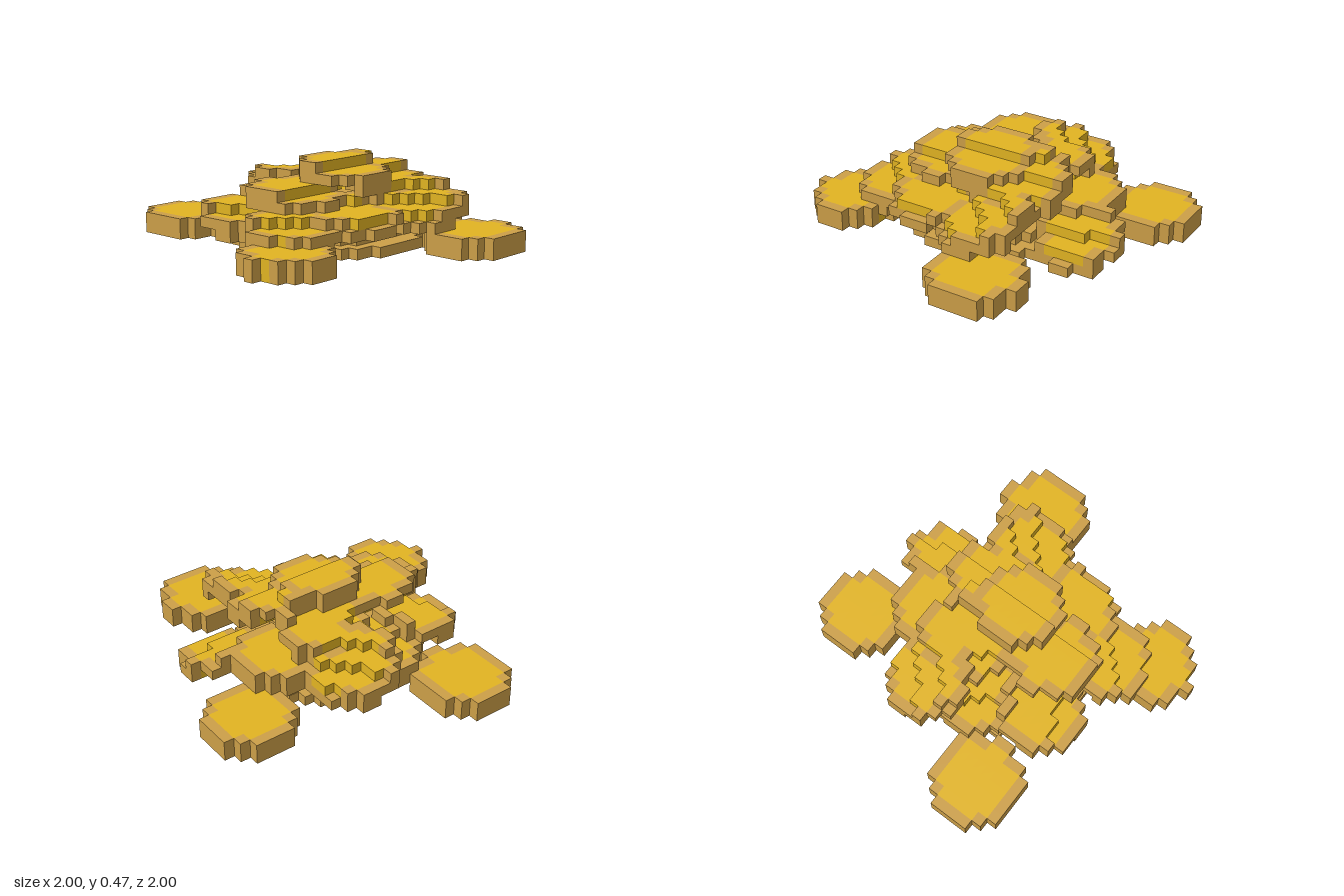
import * as THREE from 'three';

const CELLS = 17;            // voxels per unit
const gold = new THREE.MeshStandardMaterial({ color: 0xe2b422 });
gold.name = 'gold';
const bronze = new THREE.MeshStandardMaterial({ color: 0xcc9f48 });
bronze.name = 'bronze';

// Coins in voxel units: name, centre x, y, z, slope along x, slope along z, radius
const COINS = [
  ['looseCoinBack', -6, 1, -13, 0, 0, 4.1],
  ['looseCoinLeft', 12.95, 1, -5.25, 0, 0, 4.36],
  ['looseCoinRight', -12.7, 1, 6, 0, 0, 4.35],
  ['looseCoinFront', 6.8, 1, 12.5, 0, 0, 4.03],
  ['lowCoinBack', 3.1, 1.85, -10, -0.4, 0.04, 3.75],
  ['lowCoinBackRight', -2.2, 3, -7, 0, 0.08, 4.1],
  ['lowCoinRight', -5.9, 3, 1, 0.25, -0.2, 4.1],
  ['lowCoinFrontRight', -4, 3, 7.2, -0.1, -0.22, 4.1],
  ['lowCoinFront', 4, 2.9, 8.7, -0.2, -0.25, 4.3],
  ['lowCoinLeft', 6, 3.3, 3.5, -0.2, -0.05, 4.1],
  ['leaningCoinRight', -8, 4.05, -3.3, 0.25, 0.35, 4.2],
  ['leaningCoinLeft', 8.1, 3.85, -3, -0.27, -0.3, 4.3],
  ['upperCoinRight', -3.3, 5, -2.5, 0.2, -0.12, 4.2],
  ['upperCoinFront', 0.5, 4.9, 5, -0.18, 0, 4.2],
  ['upperCoinBack', 3, 5.75, -4, -0.4, 0.08, 4.15],
  ['topCoin', 2, 6.65, 0, -0.13, 0, 4.1],
];

// Quads of a unit voxel: outward direction and two edge directions (u x v = n)
const SIDES = [
  [[1, 0, 0], [0, 1, 0], [0, 0, 1]], [[-1, 0, 0], [0, 0, 1], [0, 1, 0]],
  [[0, 1, 0], [0, 0, 1], [1, 0, 0]], [[0, -1, 0], [1, 0, 0], [0, 0, 1]],
  [[0, 0, 1], [1, 0, 0], [0, 1, 0]], [[0, 0, -1], [0, 1, 0], [1, 0, 0]],
];

const key = (x, y, z) => `${x},${y},${z}`;

// Fill the shared grid with every cell that the test assigns a material
function fill(grid, part, test) {
  for (let x = -17; x < 17; x++)
    for (let y = 0; y < 8; y++)
      for (let z = -17; z < 17; z++) {
        const material = test(x + 0.5, y + 0.5, z + 0.5);
        if (material) grid.set(key(x, y, z), { x, y, z, part, material });
      }
}

// Mesh of the exposed faces of the given cells
function voxelMesh(grid, cells, material, name) {
  const pos = [], nor = [];
  for (const { x, y, z } of cells)
    for (const [n, u, v] of SIDES) {
      if (grid.has(key(x + n[0], y + n[1], z + n[2]))) continue;
      const corner = (a, b) => [x, y, z].map((c, i) =>
        (c + Math.max(n[i], 0) + a * u[i] + b * v[i]) / CELLS);
      const quad = [corner(0, 0), corner(1, 0), corner(1, 1), corner(0, 1)];
      for (const i of [0, 1, 2, 0, 2, 3]) {
        pos.push(...quad[i]);
        nor.push(...n);
      }
    }
  const geometry = new THREE.BufferGeometry();
  geometry.setAttribute('position', new THREE.Float32BufferAttribute(pos, 3));
  geometry.setAttribute('normal', new THREE.Float32BufferAttribute(nor, 3));
  const mesh = new THREE.Mesh(geometry, material);
  mesh.name = name;
  return mesh;
}

export function createModel() {
  const model = new THREE.Group();
  model.name = 'coinPile';
  const grid = new Map();

  // Stepped mound under the pile
  fill(grid, 'mound', (x, y, z) =>
    y < 4 && Math.hypot(x, z) < 9.1 - 1.7 * Math.floor(y) ? bronze : null);

  // Tilted voxel coins: gold faces with a one-voxel bronze rim
  for (const [name, cx, cy, cz, sx, sz, r] of COINS) {
    const half = sx || sz ? 0.8 : 1;
    const slant = Math.hypot(1, sx, sz);
    fill(grid, name, (x, y, z) => {
      const dx = x - cx, dy = y - cy, dz = z - cz;
      const h = (dy - sx * dx - sz * dz) / slant;
      const d = Math.sqrt(dx * dx + dy * dy + dz * dz - h * h);
      if (d > r || Math.abs(h) >= half) return null;
      return d < r - 0.92 ? gold : bronze;
    });
  }

  // One group per part, with a mesh for each colour
  const cells = [...grid.values()];
  for (const part of ['mound', ...COINS.map((c) => c[0])]) {
    const group = new THREE.Group();
    group.name = part;
    for (const [material, label] of [[bronze, 'Rim'], [gold, 'Face']]) {
      const own = cells.filter((c) => c.part === part && c.material === material);
      if (own.length) group.add(voxelMesh(grid, own, material, part + label));
    }
    model.add(group);
  }
  return model;
}
